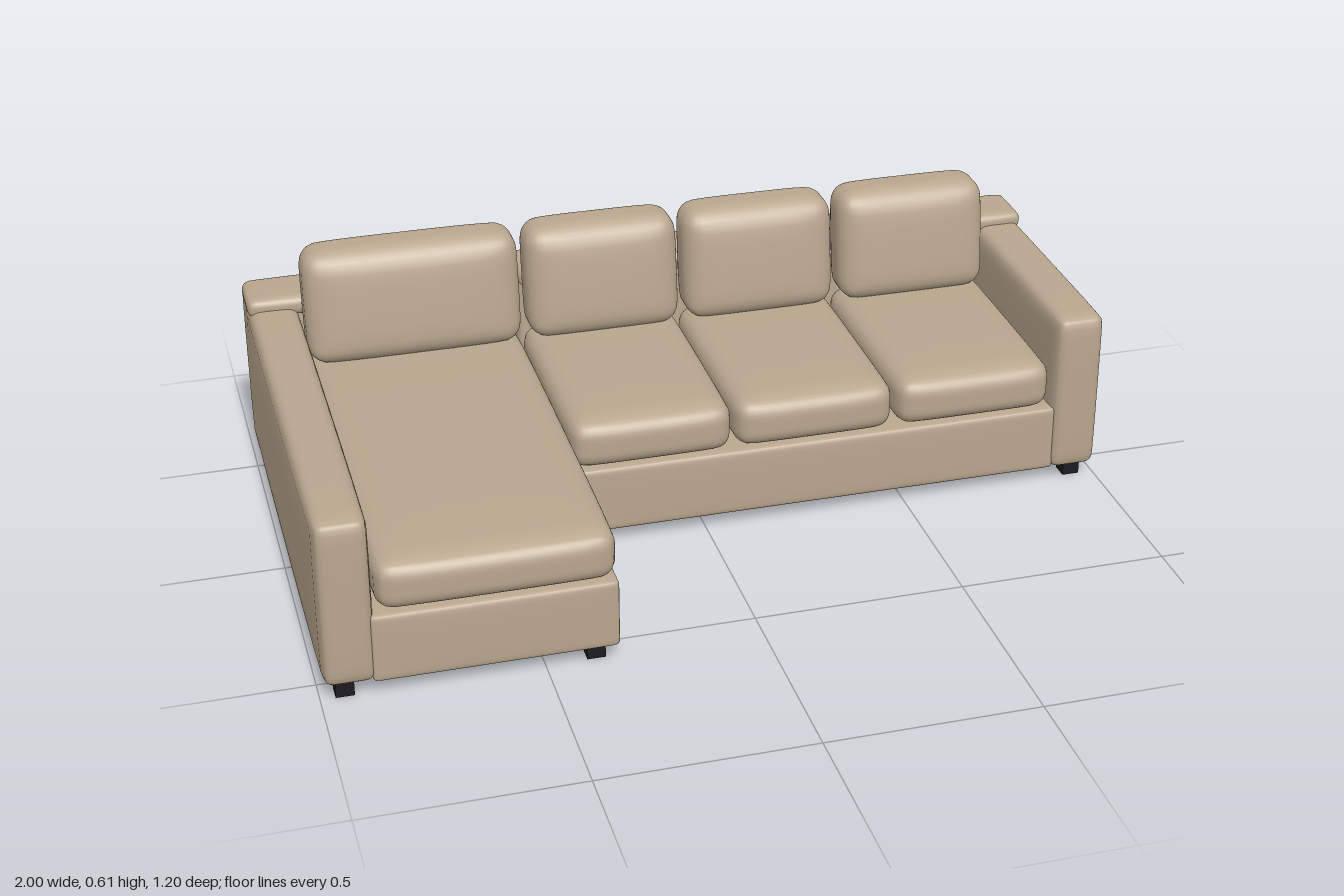
import * as THREE from 'three';
import { mergeVertices } from 'three/addons/utils/BufferGeometryUtils.js';

const fabric = new THREE.MeshStandardMaterial({ color: 0xb9a68e });
fabric.name = 'beige fabric';
const black = new THREE.MeshStandardMaterial({ color: 0x1c1c1e });
black.name = 'black leg';

// Rounded, softly puffed block given by its [min, max] on each axis.
// puff = outward swell per axis, lean = backward shift of z per unit of height
function softBox(x, y, z, r, puff = [0, 0, 0], lean = 0) {
  const half = [x, y, z].map(([a, b], i) => (b - a) / 2 - puff[i]);
  const mid = [x, y, z].map(([a, b]) => (a + b) / 2);
  const n = 18;
  let geo = new THREE.BoxGeometry(2, 2, 2, n, n, n);
  geo.deleteAttribute('uv');
  geo.deleteAttribute('normal');
  geo = mergeVertices(geo);
  const pos = geo.attributes.position;
  const p = new THREE.Vector3(), inner = new THREE.Vector3();
  const limit = new THREE.Vector3(...half).subScalar(r);
  for (let i = 0; i < pos.count; i++) {
    const u = [pos.getX(i), pos.getY(i), pos.getZ(i)];
    // crowd the grid lines towards the edges, then round the edges
    p.set(...u.map((v, k) => Math.sin(v * Math.PI / 2) * half[k]));
    inner.copy(p).clamp(limit.clone().negate(), limit);
    p.sub(inner).normalize().multiplyScalar(r).add(inner);
    const s = p.toArray().map((v, k) => v / half[k]);
    const fall = s.map(v => Math.max(0, 1 - v ** 4));
    const q = p.toArray().map((v, k) =>
      v + s[k] * puff[k] * fall[(k + 1) % 3] * fall[(k + 2) % 3]);
    pos.setXYZ(i, q[0] + mid[0], q[1] + mid[1], q[2] + mid[2] - lean * q[1]);
  }
  geo.computeVertexNormals();
  return geo;
}

export function createModel() {
  const sofa = new THREE.Group();
  sofa.name = 'cornerSofa';
  const add = (name, geo, mat = fabric) => {
    const mesh = new THREE.Mesh(geo, mat);
    mesh.name = name;
    sofa.add(mesh);
  };

  // armrests: long one beside the chaise, short one at the other end
  const armPuff = [0.006, 0.005, 0.005];
  add('chaiseArm', softBox([-0.998, -0.868], [0.033, 0.449], [-0.594, 0.588], 0.025, armPuff));
  add('shortArm', softBox([0.868, 0.998], [0.033, 0.449], [-0.594, 0.113], 0.025, armPuff));

  // plinths under the seats
  add('chaiseBase', softBox([-0.885, -0.334], [0.035, 0.208], [-0.58, 0.587], 0.012, [0, 0.002, 0.003]));
  add('seatBase', softBox([-0.329, 0.885], [0.035, 0.208], [-0.58, 0.103], 0.012, [0, 0.002, 0.003]));

  // back frames with an overhanging top roll
  for (const [name, x0, x1] of [['chaiseBack', -0.995, -0.335], ['seatBack', -0.33, 0.995]]) {
    add(name, softBox([x0, x1], [0.035, 0.474], [-0.6, -0.475], 0.022, [0.002, 0.002, 0.004]));
    add(name + 'Roll', softBox([x0, x1], [0.423, 0.477], [-0.597, -0.45], 0.02, [0.002, 0.003, 0.003]));
  }

  // seat and back cushions, one pair per place
  const places = [
    ['chaise', -0.872, -0.334, 0.597],
    ['inner', -0.33, 0.065, 0.113],
    ['middle', 0.068, 0.465, 0.113],
    ['outer', 0.47, 0.867, 0.113],
  ];
  for (const [name, x0, x1, front] of places) {
    add(name + 'SeatCushion',
      softBox([x0, x1], [0.203, 0.337], [-0.47, front], 0.04, [0.004, 0.007, 0.009]));
    add(name + 'BackCushion',
      softBox([x0 + 0.006, x1 - 0.006], [0.325, 0.61], [-0.499, -0.349], 0.042, [0.005, 0.006, 0.014], 0.13));
  }

  // short block feet
  const feet = [[-0.945, 0.54], [-0.385, 0.54], [-0.945, -0.54], [-0.385, -0.54],
    [-0.285, 0.057], [0.943, 0.057], [-0.285, -0.54], [0.943, -0.54]];
  for (const [x, z] of feet) {
    const foot = new THREE.BoxGeometry(0.042, 0.045, 0.042);
    foot.translate(x, 0.0225, z);
    add('foot', foot, black);
  }
  return sofa;
}
